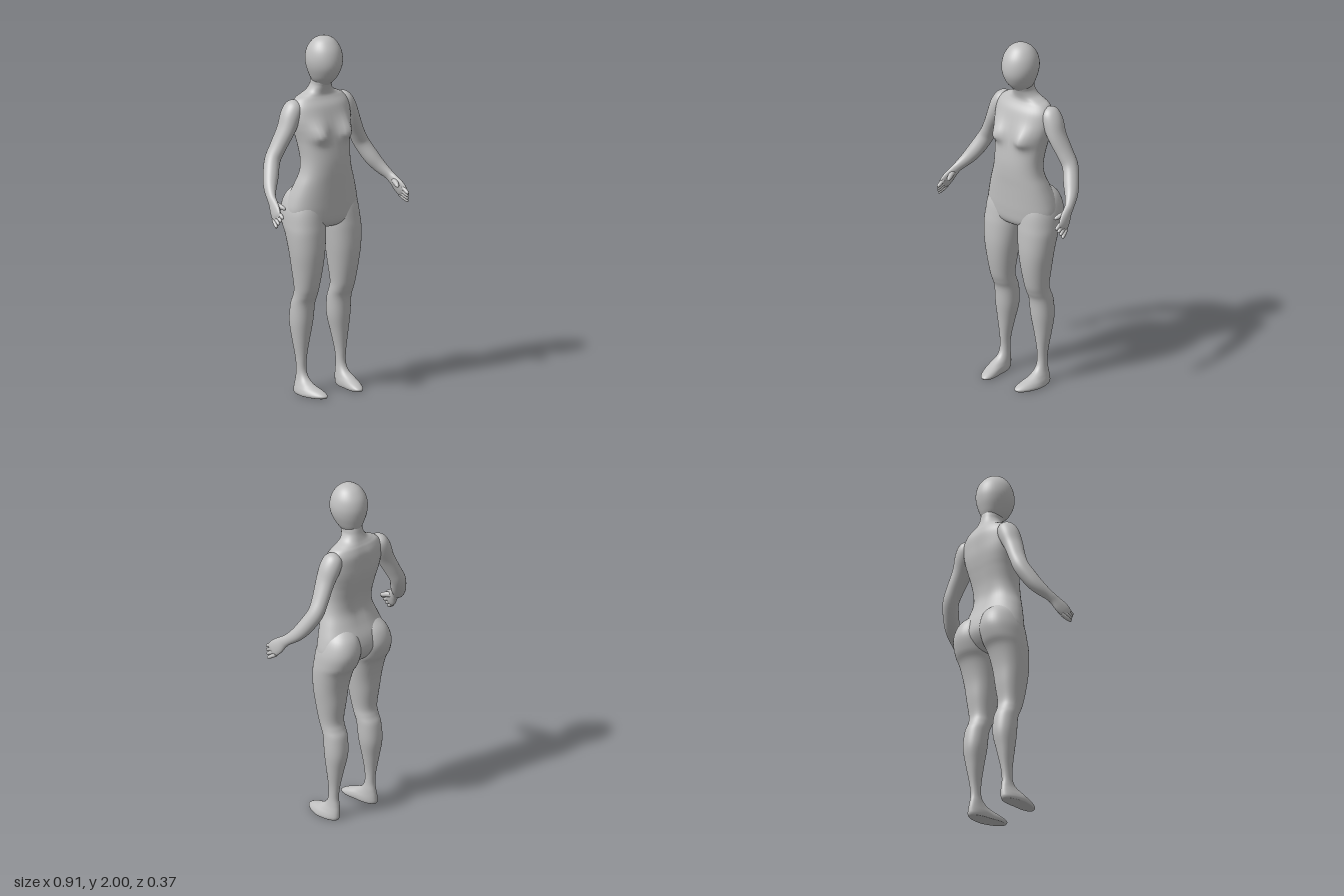
import * as THREE from 'three';

const SIDES = 40;
const skin = new THREE.MeshStandardMaterial({ color: 0xc0c0c0 });
skin.name = 'plain grey';

// Catmull-Rom interpolation of rows of numbers
function smoothRows(rows, steps = 5) {
  const out = [];
  const at = (i) => rows[Math.min(Math.max(i, 0), rows.length - 1)];
  for (let i = 0; i < rows.length - 1; i++) {
    const [a, b, c, d] = [at(i - 1), at(i), at(i + 1), at(i + 2)];
    for (let s = 0; s < steps; s++) {
      const t = s / steps;
      out.push(b.map((_, k) => 0.5 * (2 * b[k] + (c[k] - a[k]) * t
        + (2 * a[k] - 5 * b[k] + 4 * c[k] - d[k]) * t * t
        + (3 * b[k] - a[k] - 3 * c[k] + d[k]) * t * t * t)));
    }
  }
  out.push(rows[rows.length - 1]);
  return out;
}

// Closed skin over a list of rings, side = -1 mirrors it in x
function loft(name, rings, side = 1) {
  const n = SIDES, pos = [], index = [];
  const tri = (a, b, c) => (side > 0 ? index.push(a, b, c) : index.push(a, c, b));
  for (const ring of rings) for (const p of ring) pos.push(p.x * side, p.y, p.z);
  for (let i = 0; i < rings.length - 1; i++) {
    for (let j = 0; j < n; j++) {
      const a = i * n + j, b = i * n + (j + 1) % n;
      tri(a, b, a + n);
      tri(b, b + n, a + n);
    }
  }
  // End caps
  [0, rings.length - 1].forEach((r, end) => {
    const c = new THREE.Vector3();
    rings[r].forEach((p) => c.addScaledVector(p, 1 / n));
    const ci = pos.length / 3;
    pos.push(c.x * side, c.y, c.z);
    for (let j = 0; j < n; j++) {
      const a = r * n + j, b = r * n + (j + 1) % n;
      if (end) tri(a, b, ci); else tri(b, a, ci);
    }
  });
  const geo = new THREE.BufferGeometry();
  geo.setAttribute('position', new THREE.Float32BufferAttribute(pos, 3));
  geo.setIndex(index);
  geo.computeVertexNormals();
  const mesh = new THREE.Mesh(geo, skin);
  mesh.name = name;
  return mesh;
}

const rounded = (v, e) => Math.sign(v) * Math.pow(Math.abs(v), 2 / e);

// Level sections, top to bottom: y, x from, x to, z front, z back
function stack(name, rows, { side = 1, power = 2, shape } = {}) {
  const rings = smoothRows(rows).map(([y, x0, x1, zf, zb]) =>
    Array.from({ length: SIDES }, (_, j) => {
      const a = (j / SIDES) * Math.PI * 2;
      const p = new THREE.Vector3(
        (x0 + x1) / 2 + (x1 - x0) / 2 * rounded(Math.cos(a), power), y,
        (zf + zb) / 2 + (zf - zb) / 2 * rounded(Math.sin(a), power));
      if (shape) shape(p, Math.sin(a));
      return p;
    }));
  return loft(name, rings, side);
}

// Sections across a path: x, y, z, radius sideways, radius fore and aft
function limb(name, rows, side) {
  const path = smoothRows(rows);
  const points = path.map((r) => new THREE.Vector3(r[0], r[1], r[2]));
  const rings = path.map((r, i) => {
    const t = points[Math.min(i + 1, path.length - 1)].clone().sub(points[Math.max(i - 1, 0)]).normalize();
    const u = new THREE.Vector3(1, 0, 0).addScaledVector(t, -t.x).normalize();
    const v = t.clone().cross(u);
    return Array.from({ length: SIDES }, (_, j) => {
      const a = (j / SIDES) * Math.PI * 2;
      return points[i].clone().addScaledVector(u, r[3] * Math.cos(a)).addScaledVector(v, r[4] * Math.sin(a));
    });
  });
  return loft(name, rings, side);
}

const bell = (d, w) => Math.exp(-(d * d) / (w * w));
const centred = (rows) => rows.map(([y, w, f, b]) => [y, -w, w, f, b]);

// Chest and spine relief on the torso
function torsoShape(p, facing) {
  if (facing > 0) {
    const dy = p.y - 1.46;
    p.z += 0.05 * facing * bell(Math.abs(p.x) - 0.095, 0.05) * bell(dy, dy > 0 ? 0.07 : 0.04);
  } else {
    p.z -= 0.016 * facing * bell(p.x, 0.035) * bell(p.y - 1.42, 0.2);
  }
}

// Feet turn in to the big toe
function footShape(p) {
  if (p.y < 0.1 && p.z > 0.04) p.x -= (p.z - 0.04) * 0.2;
}

export function createModel() {
  const figure = new THREE.Group();
  figure.name = 'figure';

  figure.add(stack('head', centred([
    [2.0, 0.003, -0.012, -0.018], [1.992, 0.036, 0.022, -0.052], [1.97, 0.066, 0.052, -0.085],
    [1.93, 0.09, 0.08, -0.114], [1.88, 0.1, 0.094, -0.126], [1.83, 0.094, 0.092, -0.122],
    [1.78, 0.075, 0.07, -0.108], [1.75, 0.058, 0.044, -0.096], [1.72, 0.035, 0.01, -0.085],
  ])));

  figure.add(stack('torso', centred([
    [1.8, 0.05, 0.03, -0.09], [1.75, 0.055, 0.026, -0.1], [1.72, 0.058, 0.014, -0.106],
    [1.69, 0.078, 0.004, -0.116], [1.67, 0.115, 0.002, -0.125], [1.65, 0.152, 0.01, -0.135],
    [1.61, 0.178, 0.035, -0.147], [1.55, 0.184, 0.055, -0.148], [1.5, 0.178, 0.068, -0.146],
    [1.45, 0.166, 0.078, -0.138], [1.4, 0.156, 0.088, -0.126], [1.32, 0.148, 0.097, -0.107],
    [1.25, 0.156, 0.098, -0.102], [1.18, 0.182, 0.094, -0.122], [1.1, 0.209, 0.09, -0.155],
    [1.03, 0.222, 0.086, -0.163], [0.97, 0.205, 0.078, -0.13], [0.94, 0.12, 0.055, -0.09],
    [0.925, 0.02, 0.01, -0.04],
  ]), { power: 2.25, shape: torsoShape }));

  for (const [side, label] of [[1, 'left'], [-1, 'right']]) {
    // Buttock, thigh, calf and foot in one skin
    figure.add(stack(label + 'Leg', [
      [1.18, 0.05, 0.13, 0.02, -0.09], [1.12, 0.014, 0.192, 0.045, -0.16], [1.04, 0.001, 0.223, 0.07, -0.186],
      [0.96, 0.003, 0.231, 0.082, -0.166], [0.9, 0.011, 0.23, 0.088, -0.13], [0.8, 0.025, 0.22, 0.09, -0.102],
      [0.7, 0.04, 0.205, 0.08, -0.09], [0.6, 0.055, 0.191, 0.06, -0.077], [0.55, 0.057, 0.188, 0.042, -0.088],
      [0.5, 0.058, 0.19, 0.022, -0.108], [0.4, 0.064, 0.19, 0.013, -0.118], [0.3, 0.085, 0.178, 0, -0.1],
      [0.2, 0.105, 0.163, -0.01, -0.08], [0.13, 0.109, 0.16, -0.01, -0.072], [0.085, 0.105, 0.165, 0.015, -0.078],
      [0.055, 0.1, 0.175, 0.07, -0.083], [0.033, 0.095, 0.185, 0.13, -0.085], [0.015, 0.094, 0.19, 0.16, -0.085],
      [0.003, 0.097, 0.188, 0.156, -0.08], [0, 0.1, 0.184, 0.15, -0.075],
    ], { side, power: 2.15, shape: footShape }));

    // Shoulder down to the knuckles
    figure.add(limb(label + 'Arm', [
      [0.145, 1.642, -0.07, 0.012, 0.012], [0.153, 1.63, -0.07, 0.036, 0.04], [0.167, 1.605, -0.07, 0.051, 0.057],
      [0.19, 1.56, -0.068, 0.055, 0.062], [0.222, 1.49, -0.066, 0.047, 0.057], [0.268, 1.4, -0.077, 0.042, 0.05],
      [0.305, 1.33, -0.078, 0.043, 0.046], [0.345, 1.25, -0.04, 0.042, 0.044], [0.375, 1.2, -0.005, 0.034, 0.038],
      [0.401, 1.16, 0.04, 0.023, 0.03], [0.411, 1.135, 0.07, 0.02, 0.034], [0.422, 1.105, 0.1, 0.018, 0.043],
      [0.43, 1.08, 0.125, 0.014, 0.042], [0.434, 1.066, 0.138, 0.006, 0.034],
    ], side));

    // Four fingers fanned from index to little finger
    for (let i = 0; i < 4; i++) {
      const mix = (a, b) => THREE.MathUtils.lerp(a, b, i / 3);
      const base = [mix(0.426, 0.431), mix(1.103, 1.056), mix(0.135, 0.1)];
      const tip = [mix(0.427, 0.449), mix(1.076, 1.022), mix(0.183, 0.152)];
      const rows = [[0, 0.011], [0.5, 0.011], [0.9, 0.008], [1, 0.002]].map(([t, r]) =>
        [...base.map((b, k) => b + (tip[k] - b) * t), r, r]);
      figure.add(limb(label + 'Finger' + (i + 1), rows, side));
    }
    figure.add(limb(label + 'Thumb', [
      [0.407, 1.135, 0.075, 0.014, 0.016], [0.397, 1.127, 0.108, 0.014, 0.015],
      [0.387, 1.117, 0.138, 0.01, 0.01], [0.383, 1.112, 0.147, 0.002, 0.002],
    ], side));
  }
  return figure;
}
